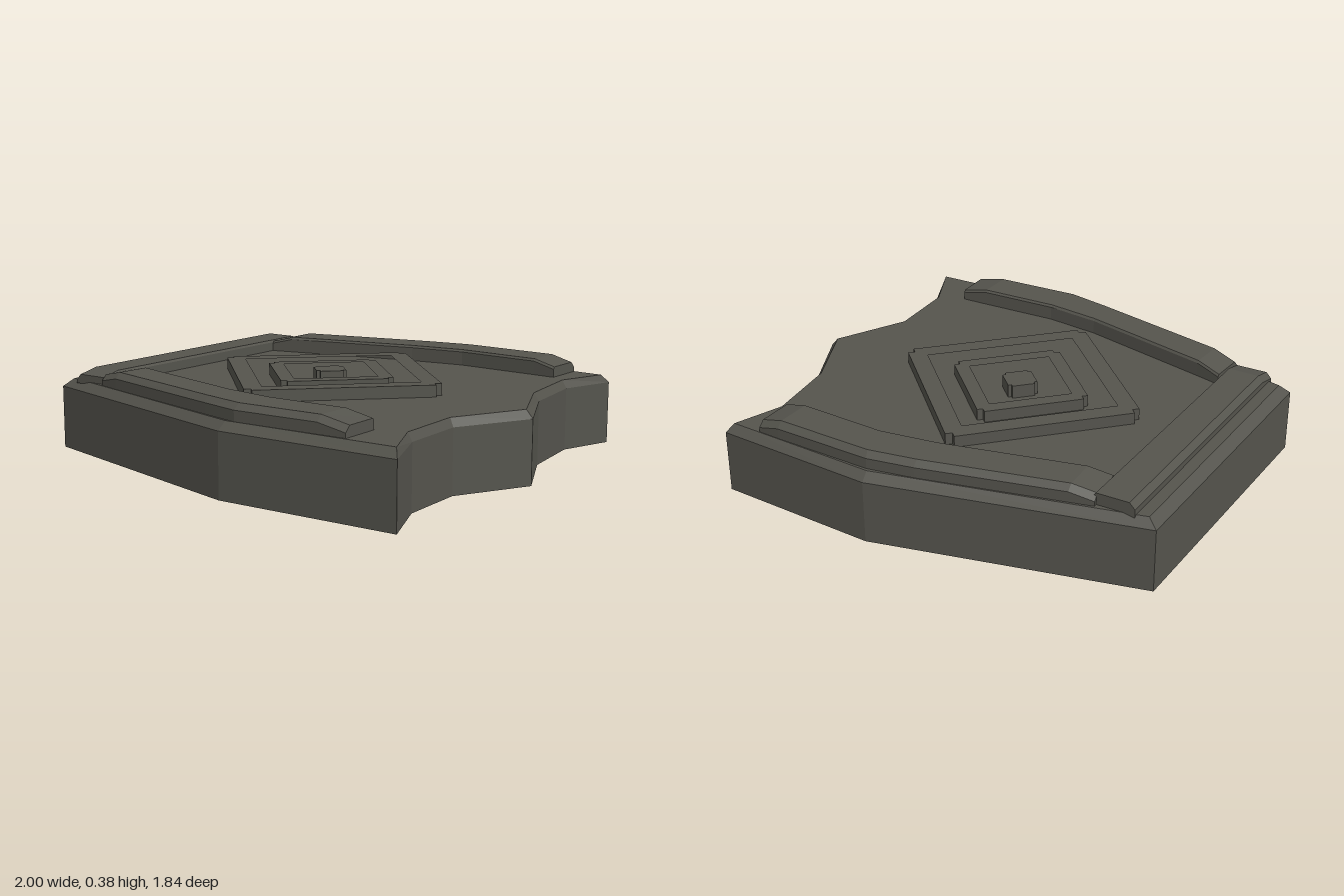
import * as THREE from 'three';
import { mergeGeometries } from 'three/addons/utils/BufferGeometryUtils.js';

const stone = new THREE.MeshStandardMaterial({ color: 0x55544d });
stone.name = 'darkStone';

const DECK = 0.305;

function fromTriangles(points) {
  const g = new THREE.BufferGeometry();
  g.setAttribute('position', new THREE.Float32BufferAttribute(points.flat(), 3));
  g.computeVertexNormals();
  return g;
}

// Flat-faced skin through a stack of closed rings
function loft(rings) {
  const tris = [];
  for (let s = 0; s < rings.length - 1; s++) {
    const lo = rings[s], hi = rings[s + 1], n = lo.length;
    for (let i = 0; i < n; i++) {
      const j = (i + 1) % n;
      tris.push(lo[i], hi[i], hi[j], lo[i], hi[j], lo[j]);
    }
  }
  return tris;
}

function addMesh(group, name, geometry) {
  const mesh = new THREE.Mesh(geometry, stone);
  mesh.name = name;
  group.add(mesh);
}

// Slab with a chamfered upper rim and one broken, zigzag side
function slabGeometry() {
  const foot = [[-0.93, -0.7], [0.21, -0.92], [0.92, -0.85], [0.83, -0.61], [0.86, -0.29], [1, 0.04],
    [0.82, 0.35], [0.82, 0.65], [0.92, 0.915], [0.12, 0.905], [-1, 0.57]];
  const top = [[-0.89, -0.675], [0.21, -0.885], [0.895, -0.82], [0.81, -0.61], [0.84, -0.28], [0.97, 0.04],
    [0.8, 0.34], [0.8, 0.65], [0.895, 0.88], [0.13, 0.87], [-0.955, 0.545]];
  const at = (pts, y) => pts.map(([x, z]) => [x, y, z]);
  const tris = loft([at(foot, 0), at(foot, 0.27), at(top, DECK)]);
  const cap = (pts, y, up) => {
    const v = pts.map(([x, z]) => new THREE.Vector2(x, z));
    for (const [a, b, c] of THREE.ShapeUtils.triangulateShape(v, [])) {
      const facesDown = THREE.ShapeUtils.area([v[a], v[b], v[c]]) > 0;
      const order = facesDown === up ? [a, c, b] : [a, b, c];
      tris.push(...order.map(i => [pts[i][0], y, pts[i][1]]));
    }
  };
  cap(foot, 0, false);
  cap(top, DECK, true);
  return fromTriangles(tris);
}

// Raised border; each station is [outerX, outerZ, innerX, innerZ, height]
function railGeometry(stations) {
  const rings = stations.map(([ox, oz, ix, iz, h]) => {
    const mix = (t, y) => [ox + (ix - ox) * t, y, oz + (iz - oz) * t];
    return [mix(0, DECK - 0.01), mix(0, h - 0.025), mix(0.14, h), mix(0.96, h), mix(1, h - 0.01), mix(1, DECK - 0.01)];
  });
  const tris = loft(rings);
  const first = rings[0], last = rings[rings.length - 1];
  for (let i = 1; i < first.length - 1; i++) {
    tris.push(first[0], first[i], first[i + 1], last[0], last[i + 1], last[i]);
  }
  return fromTriangles(tris);
}

// Diamond outline whose corners have a small square notch
function diamond(radius, notch) {
  const corners = [0, 1, 2, 3].map(i => {
    const a = i * Math.PI / 2 + 0.036;
    return new THREE.Vector2(Math.cos(a) * radius, -Math.sin(a) * radius);
  });
  return corners.flatMap((c, i) => {
    if (!notch) return [c];
    const back = corners[(i + 3) % 4].clone().sub(c).setLength(notch);
    const next = corners[(i + 1) % 4].clone().sub(c).setLength(notch);
    return [c.clone().add(back), c.clone().add(back).add(next), c.clone().add(next)];
  });
}

function diamondGeometry(radius, hole, notch, height) {
  const shape = new THREE.Shape(diamond(radius, notch));
  if (hole) shape.holes.push(new THREE.Path(diamond(hole, 0)));
  const g = new THREE.ExtrudeGeometry(shape, { depth: height - DECK + 0.01, bevelEnabled: false });
  g.rotateX(-Math.PI / 2);
  g.translate(0.003, DECK - 0.01, -0.015);
  return g;
}

export function createModel() {
  const model = new THREE.Group();
  model.name = 'brokenStoneSlab';

  addMesh(model, 'slab', slabGeometry());

  // Borders along three sides, sloping down at their ends
  addMesh(model, 'backRail', railGeometry([
    [0.76, -0.83, 0.75, -0.645, 0.35],
    [0.66, -0.84, 0.65, -0.655, 0.375],
    [0.22, -0.872, 0.27, -0.69, 0.375],
    [0.02, -0.845, 0.02, -0.665, 0.375],
    [-0.58, -0.725, -0.58, -0.55, 0.375],
    [-0.68, -0.705, -0.68, -0.53, 0.35],
  ]));
  addMesh(model, 'frontRail', railGeometry([
    [-0.74, 0.605, -0.72, 0.43, 0.35],
    [-0.63, 0.64, -0.61, 0.465, 0.375],
    [-0.01, 0.82, -0.03, 0.64, 0.375],
    [0.17, 0.87, 0.21, 0.682, 0.375],
    [0.55, 0.87, 0.56, 0.687, 0.375],
    [0.675, 0.87, 0.68, 0.69, 0.35],
  ]));
  addMesh(model, 'leftRail', railGeometry([
    [-0.84, -0.695, -0.67, -0.69, 0.355],
    [-0.9, 0.49, -0.735, 0.5, 0.355],
    [-0.907, 0.58, -0.74, 0.585, 0.335],
  ]));

  // Nested diamond carving in the middle
  const carving = new THREE.Group();
  carving.name = 'diamondCarving';
  addMesh(carving, 'outerDiamond', diamondGeometry(0.575, 0.465, 0.03, 0.355));
  addMesh(carving, 'innerDiamond', diamondGeometry(0.335, 0.25, 0.025, 0.355));
  addMesh(carving, 'centreStud', diamondGeometry(0.09, 0, 0.015, 0.362));
  model.add(carving);

  return model;
}
